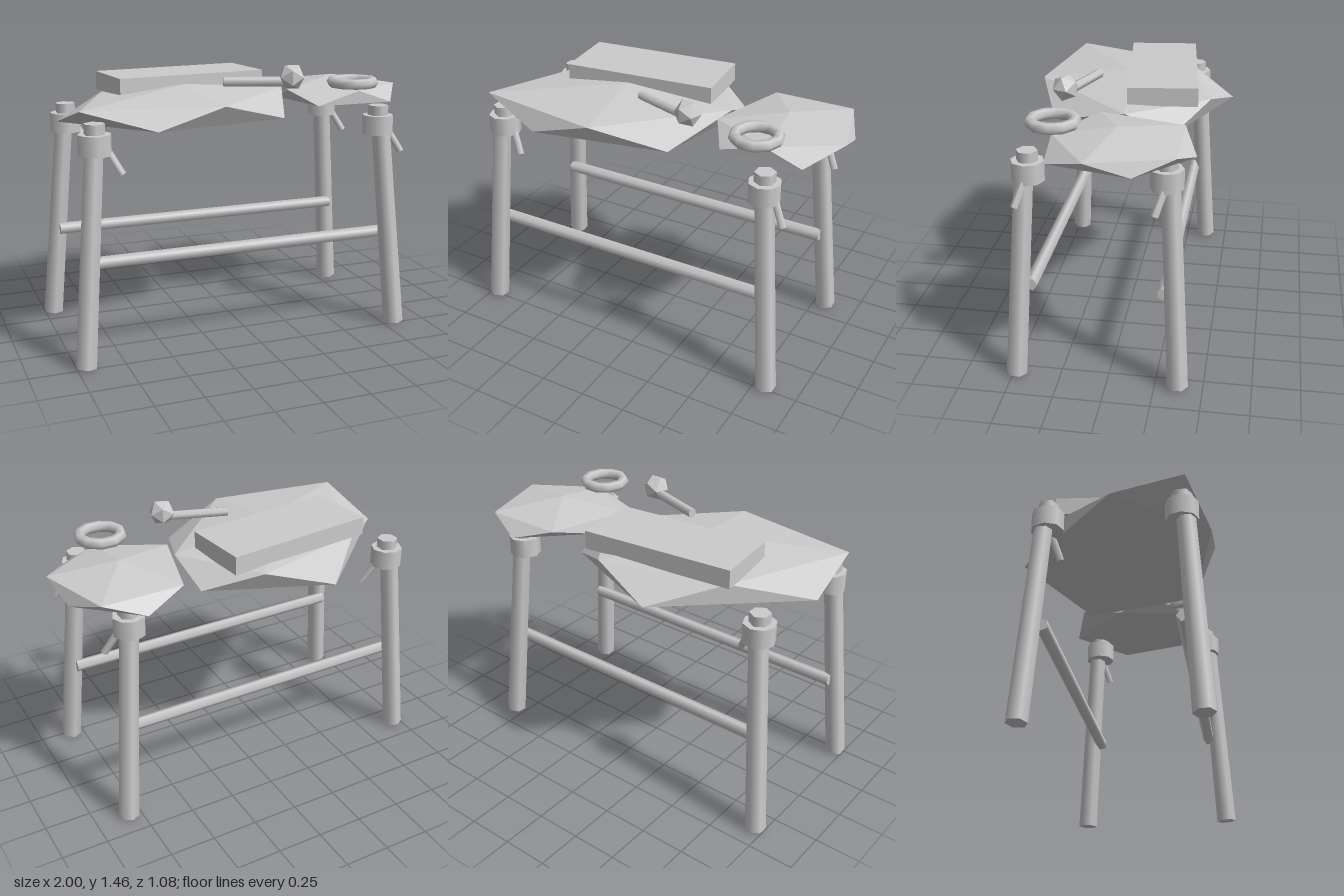
import * as THREE from 'three';

const material = new THREE.MeshStandardMaterial({ color: 0xcccccc });
const faceted = new THREE.MeshStandardMaterial({ color: 0xcccccc, flatShading: true });
const v = (x, y, z) => new THREE.Vector3(x, y, z);

function add(parent, name, geometry, mat = material) {
  const mesh = new THREE.Mesh(geometry, mat);
  mesh.name = name;
  parent.add(mesh);
  return mesh;
}

// Round bar from a to b, with its own radius at each end
function bar(parent, name, a, b, rA, rB, sides, twist = 0) {
  const dir = b.clone().sub(a);
  const geometry = new THREE.CylinderGeometry(rB, rA, dir.length(), sides).rotateY(twist);
  const mesh = add(parent, name, geometry);
  mesh.position.copy(a).add(b).multiplyScalar(0.5);
  mesh.quaternion.setFromUnitVectors(v(0, 1, 0), dir.normalize());
  return mesh;
}

// Rough slab, a flattened icosahedron: the rim alternates low and high corners,
// the high ones meet at a top point and the low ones at a bottom point
function slab(parent, name, rim, low, high, x, z, top, bottom) {
  const points = rim.map(([px, pz], i) => v(px, i % 2 ? high : low, pz));
  const up = v(x, top, z), down = v(x, bottom, z), corners = [];
  points.forEach((p, i) => {
    const q = points[(i + 1) % points.length], r = points[(i + 2) % points.length];
    if (i % 2) corners.push(up, p, r, p, q, r);
    else corners.push(down, r, p, p, r, q);
  });
  const geometry = new THREE.BufferGeometry().setFromPoints(corners);
  geometry.computeVertexNormals();
  return add(parent, name, geometry, faceted);
}

export function createModel() {
  const model = new THREE.Group();
  model.name = 'workbench';
  const cx = -0.067, cz = 0.056; // centre of the leg frame

  // Splayed legs, each with a collar, a stub and a small peg
  for (const sx of [-1, 1]) for (const sz of [-1, 1]) {
    const leg = new THREE.Group();
    leg.name = (sz > 0 ? 'front' : 'back') + (sx > 0 ? 'Left' : 'Right') + 'Leg';
    model.add(leg);
    bar(leg, 'post', v(cx + sx * 0.886, 0.006, cz + sz * 0.426),
      v(cx + sx * 0.792, 1.15, cz + sz * 0.36), 0.055, 0.049, 6);
    const x = cx + sx * 0.785, z = cz + sz * 0.343;
    add(leg, 'collar', new THREE.CylinderGeometry(0.085, 0.085, 0.105, 8)).position.set(x, 1.132, z);
    add(leg, 'stub', new THREE.CylinderGeometry(0.055, 0.055, 0.11, 6)).position.set(x, 1.182, z);
    bar(leg, 'peg', v(x + 0.055, 1.11, z), v(x + 0.125, 0.98, z + 0.043), 0.02, 0.02, 5);
  }

  // Long rails between the legs
  for (const sz of [-1, 1]) {
    const z = cz + sz * 0.34;
    bar(model, sz > 0 ? 'frontRail' : 'backRail',
      v(cx - 0.845, 0.52, z), v(cx + 0.845, 0.52, z), 0.035, 0.035, 5, Math.PI);
  }

  // Two rough slabs that form the top
  slab(model, 'largeSlab', [
    [-0.97, 0.05], [-0.93, 0.425], [-0.565, 0.53], [-0.215, 0.53], [0.17, 0.385],
    [0.33, -0.02], [0.305, -0.27], [0.03, -0.44], [-0.335, -0.54], [-0.64, -0.255],
  ], 1.196, 1.302, -0.273, 0.05, 1.355, 1.147);
  slab(model, 'smallSlab', [
    [0.67, -0.425], [0.44, -0.345], [0.35, -0.1], [0.31, 0.11], [0.415, 0.288],
    [0.66, 0.288], [0.86, 0.285], [1.0, 0.07], [0.97, -0.15], [0.88, -0.35],
  ], 1.23, 1.302, 0.647, -0.037, 1.357, 1.185);

  // Block lying on the large slab
  const block = add(model, 'block', new THREE.BoxGeometry(0.845, 0.1, 0.371));
  block.position.set(-0.233, 1.353, -0.152);
  block.rotation.y = 0.108;

  // Hammer lying near the front
  const hammer = new THREE.Group();
  hammer.name = 'hammer';
  model.add(hammer);
  bar(hammer, 'handle', v(-0.1, 1.376, 0.187), v(0.24, 1.376, 0.302), 0.026, 0.026, 6);
  const head = add(hammer, 'head', new THREE.IcosahedronGeometry(0.073, 0), faceted);
  head.position.set(0.243, 1.4, 0.306);
  head.rotation.y = -0.33;

  // Ring resting on the small slab
  const ring = add(model, 'ring', new THREE.TorusGeometry(0.112, 0.03, 6, 10).rotateX(Math.PI / 2));
  ring.position.set(0.615, 1.354, 0.289);

  return model;
}
